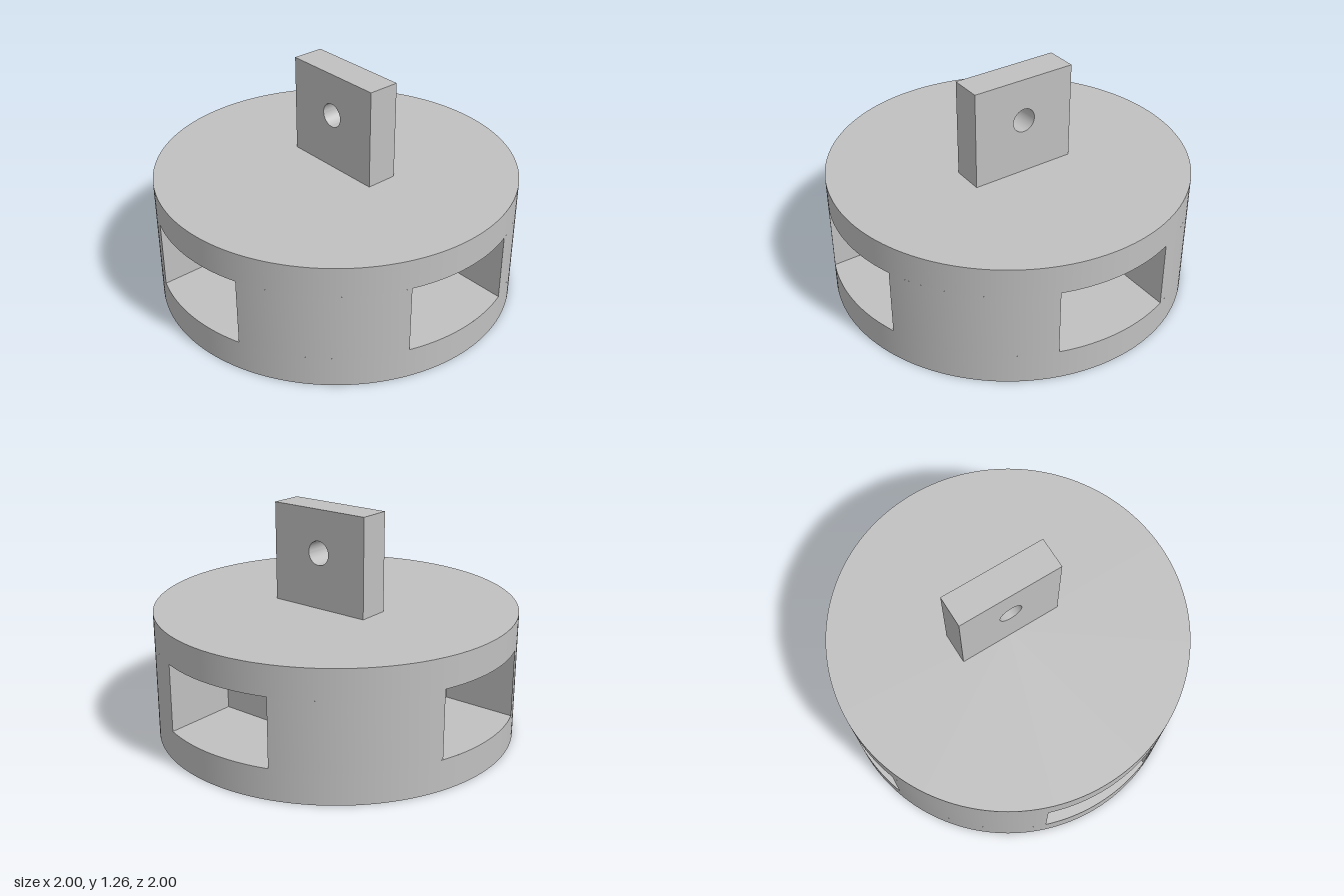
import * as THREE from 'three';
import { toCreasedNormals } from 'three/addons/utils/BufferGeometryUtils.js';

const HEIGHT = 0.71, LOW = 0.17, HIGH = 0.545; // drum height, pocket floor and ceiling
const HALF = 0.335, BACK = 0.53;               // pocket half width, distance of its back wall
const A = Math.asin(HALF), Q = Math.PI / 2;

export function createModel() {
  const group = new THREE.Group();
  const grey = new THREE.MeshStandardMaterial({ color: 0xc0c0c0 });
  grey.name = 'plain grey';
  const add = (name, geometry, y = 0) => {
    const mesh = new THREE.Mesh(geometry, grey);
    mesh.name = name;
    mesh.position.y = y;
    group.add(mesh);
    return mesh;
  };

  // Solid rims below and above the pockets, closed by the end discs
  const band = (y0, y1) => new THREE.CylinderGeometry(1, 1, y1 - y0, 180, 1, true);
  add('lowerRim', band(0, LOW), LOW / 2);
  add('upperRim', band(HIGH, HEIGHT), (HIGH + HEIGHT) / 2);
  add('drumBottom', new THREE.CircleGeometry(1, 180).rotateX(Q));
  add('drumTop', new THREE.CircleGeometry(1, 180).rotateX(-Q), HEIGHT);

  // Middle wall: round outline cut by four square pockets, sides only
  const outline = new THREE.Shape();
  for (let k = 0; k < 4; k++) {
    const c = Math.cos(k * Q), s = Math.sin(k * Q);
    const at = (x, y) => [x * c - y * s, x * s + y * c];
    if (k === 0) outline.moveTo(...at(BACK, -HALF));
    else outline.lineTo(...at(BACK, -HALF));
    outline.lineTo(...at(BACK, HALF));
    outline.lineTo(...at(Math.cos(A), HALF));
    outline.absarc(0, 0, 1, k * Q + A, (k + 1) * Q - A, false);
  }
  outline.closePath();
  const solid = new THREE.ExtrudeGeometry(outline, { depth: HIGH - LOW, bevelEnabled: false, curveSegments: 14 });
  const sides = solid.groups.find((g) => g.materialIndex === 1);
  const wall = new THREE.BufferGeometry();
  wall.setAttribute('position', new THREE.BufferAttribute(
    solid.attributes.position.array.slice(sides.start * 3, (sides.start + sides.count) * 3), 3));
  add('pocketWalls', toCreasedNormals(wall.rotateX(-Q), 0.5), LOW);

  // Floor and ceiling of each pocket
  const ledge = new THREE.Shape();
  ledge.moveTo(BACK, -HALF);
  ledge.lineTo(Math.cos(A), -HALF);
  ledge.absarc(0, 0, 1, -A, A, false);
  ledge.lineTo(BACK, HALF);
  ledge.closePath();
  for (let k = 0; k < 4; k++) {
    add('pocketFloor', new THREE.ShapeGeometry(ledge, 12).rotateX(-Q), LOW).rotation.y = k * Q;
    add('pocketCeiling', new THREE.ShapeGeometry(ledge, 12).rotateX(Q), HIGH).rotation.y = k * Q;
  }

  // Upright lug with a round hole, set slightly off centre
  const lug = new THREE.Shape();
  lug.moveTo(-0.303, HEIGHT);
  lug.lineTo(0.303, HEIGHT);
  lug.lineTo(0.303, 1.26);
  lug.lineTo(-0.303, 1.26);
  lug.closePath();
  lug.holes.push(new THREE.Path().absarc(0, 1.02, 0.067, 0, Math.PI * 2, true));
  const lugGeometry = new THREE.ExtrudeGeometry(lug, { depth: 0.18, bevelEnabled: false, curveSegments: 24 });
  add('lug', toCreasedNormals(lugGeometry.rotateY(Q).translate(-0.03, 0, 0), 0.5));

  return group;
}
